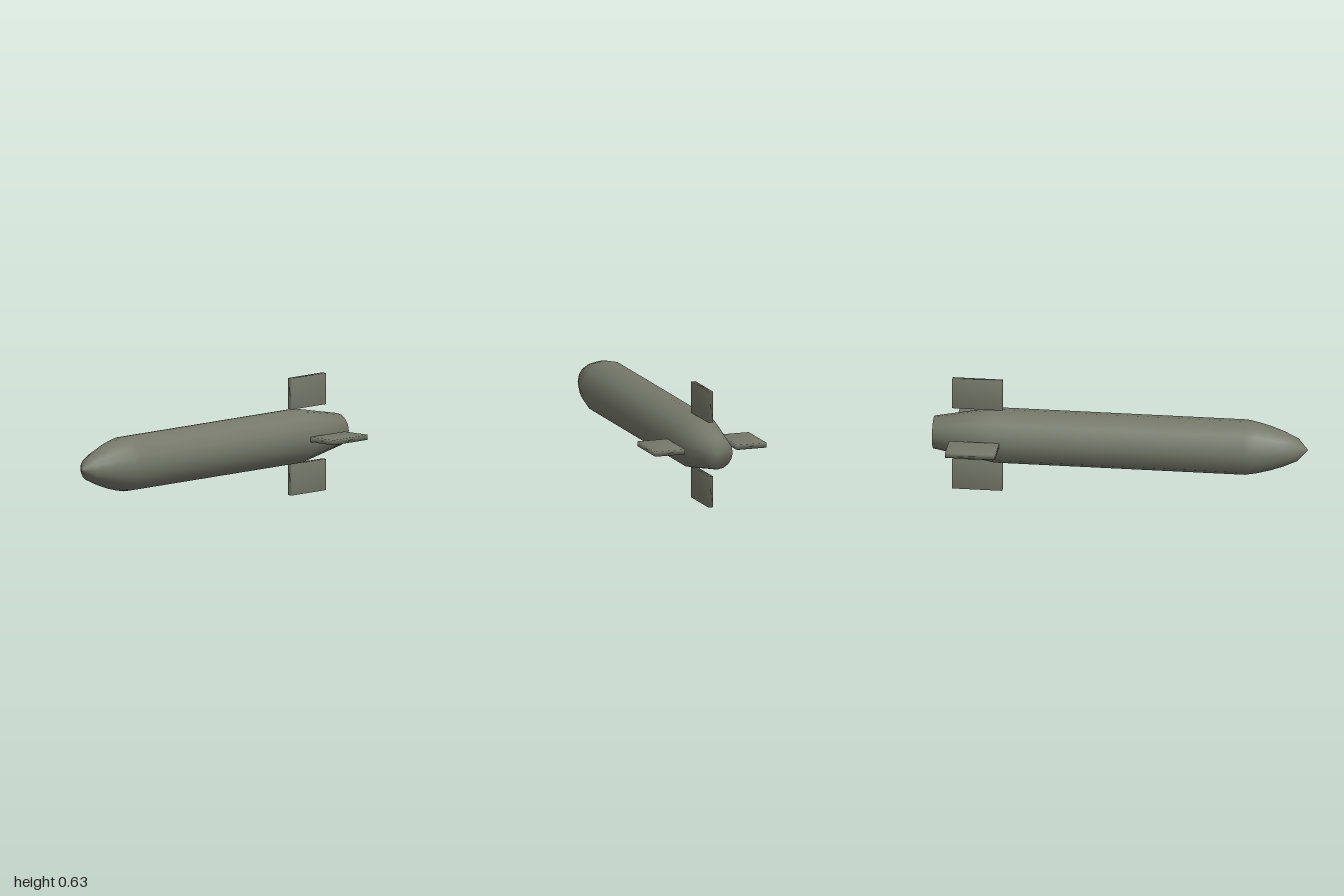
import * as THREE from 'three';
import { mergeVertices } from 'three/addons/utils/BufferGeometryUtils.js';

const CENTER_Y = 0.314;
const RADIUS = 0.147;

// Box with shared corners, so its shading runs smoothly over the edges
function softBox(w, h, d) {
  const box = new THREE.BoxGeometry(w, h, d);
  box.deleteAttribute('normal');
  box.deleteAttribute('uv');
  const geometry = mergeVertices(box);
  geometry.computeVertexNormals();
  return geometry;
}

export function createModel() {
  const model = new THREE.Group();
  model.name = 'finnedBomb';
  const material = new THREE.MeshStandardMaterial({ color: 0x75786a });

  // Body: closed tapered tail, straight barrel, curved nose (radius, z)
  const profile = [
    [0, -1], [0.087, -1], [RADIUS, -0.67],
    [RADIUS, 0.67], [0.136, 0.73], [0.118, 0.8], [0.094, 0.87], [0.061, 0.945], [0, 1],
  ].map(([r, z]) => new THREE.Vector2(r, z));
  const bodyGeometry = new THREE.LatheGeometry(profile, 16);
  bodyGeometry.rotateX(Math.PI / 2);
  const body = new THREE.Mesh(bodyGeometry, material);
  body.name = 'body';
  body.position.y = CENTER_Y;
  model.add(body);

  // Four tail fins around the body
  const finLength = 0.314 - RADIUS;
  const finGeometry = softBox(finLength, 0.027, 0.267);
  finGeometry.translate(RADIUS + finLength / 2, 0, -0.767);
  ['leftFin', 'topFin', 'rightFin', 'bottomFin'].forEach((name, i) => {
    const fin = new THREE.Mesh(finGeometry, material);
    fin.name = name;
    fin.position.y = CENTER_Y;
    fin.rotation.z = (i * Math.PI) / 2;
    model.add(fin);
  });

  return model;
}
